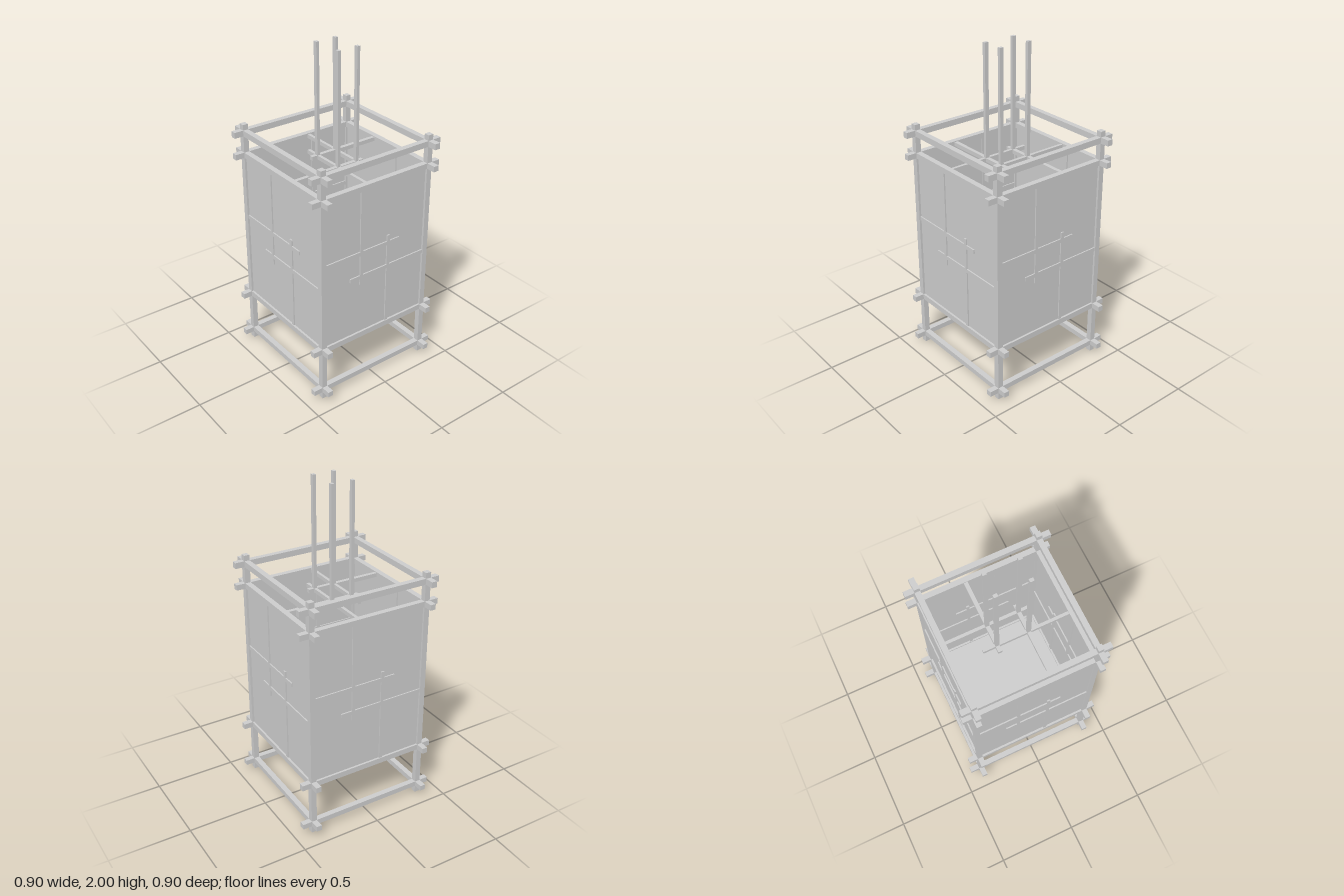
import * as THREE from 'three';

const material = new THREE.MeshStandardMaterial({ color: 0xcccccc, flatShading: true });

// Box given by its lower and upper corners
function bar(parent, name, [x0, y0, z0], [x1, y1, z1]) {
  const mesh = new THREE.Mesh(new THREE.BoxGeometry(x1 - x0, y1 - y0, z1 - z0), material);
  mesh.name = name;
  mesh.position.set((x0 + x1) / 2, (y0 + y1) / 2, (z0 + z1) / 2);
  parent.add(mesh);
}

export function createModel() {
  const model = new THREE.Group();
  model.name = 'lantern';
  const inner = 0.357, outer = 0.391, reach = 0.448;
  const rails = [[0.047, 0.08], [0.325, 0.36], [1.293, 1.327], [1.43, 1.466]];

  // Four identical sides, turned about the vertical axis
  for (let i = 0; i < 4; i++) {
    const side = new THREE.Group();
    side.name = 'side' + (i + 1);
    side.rotation.y = i * Math.PI / 2;

    bar(side, 'cornerPost', [inner, 0, inner], [outer, 1.5, outer]);
    for (const [low, high] of rails) {
      bar(side, 'rail', [-reach, low, inner], [reach, high, outer]);
    }
    bar(side, 'paperPanel', [-inner, 0.35, 0.37], [inner, 1.3, 0.378]);

    // Interlocking lattice strips
    const z0 = 0.362, z1 = 0.386;
    bar(side, 'latticeStrip', [-inner, 0.886, z0], [0.17, 0.911, z1]);
    bar(side, 'latticeStrip', [-0.185, 0.73, z0], [inner, 0.754, z1]);
    bar(side, 'latticeStrip', [-0.115, 0.69, z0], [-0.095, 1.295, z1]);
    bar(side, 'latticeStrip', [0.08, 0.358, z0], [0.1, 0.95, z1]);
    model.add(side);
  }

  // Floor of the paper box
  bar(model, 'floor', [-inner, 0.335, -inner], [inner, 0.35, inner]);

  // Open top: crossing strips that carry the hanging rods
  const y0 = 1.298, y1 = 1.322;
  bar(model, 'topStrip', [0.06, y0, -inner], [0.079, y1, 0.182]);
  bar(model, 'topStrip', [-0.07, y0, -0.176], [-0.051, y1, inner]);
  bar(model, 'topStrip', [-0.106, y0, -0.102], [inner, y1, -0.078]);
  bar(model, 'topStrip', [-inner, y0, 0.093], [0.112, y1, 0.117]);

  // Hanging rods at the crossings
  for (const x of [-0.07, 0.06]) {
    for (const z of [-0.102, 0.093]) {
      bar(model, 'hangingRod', [x, y0, z], [x + 0.019, 2, z + 0.024]);
    }
  }
  return model;
}
